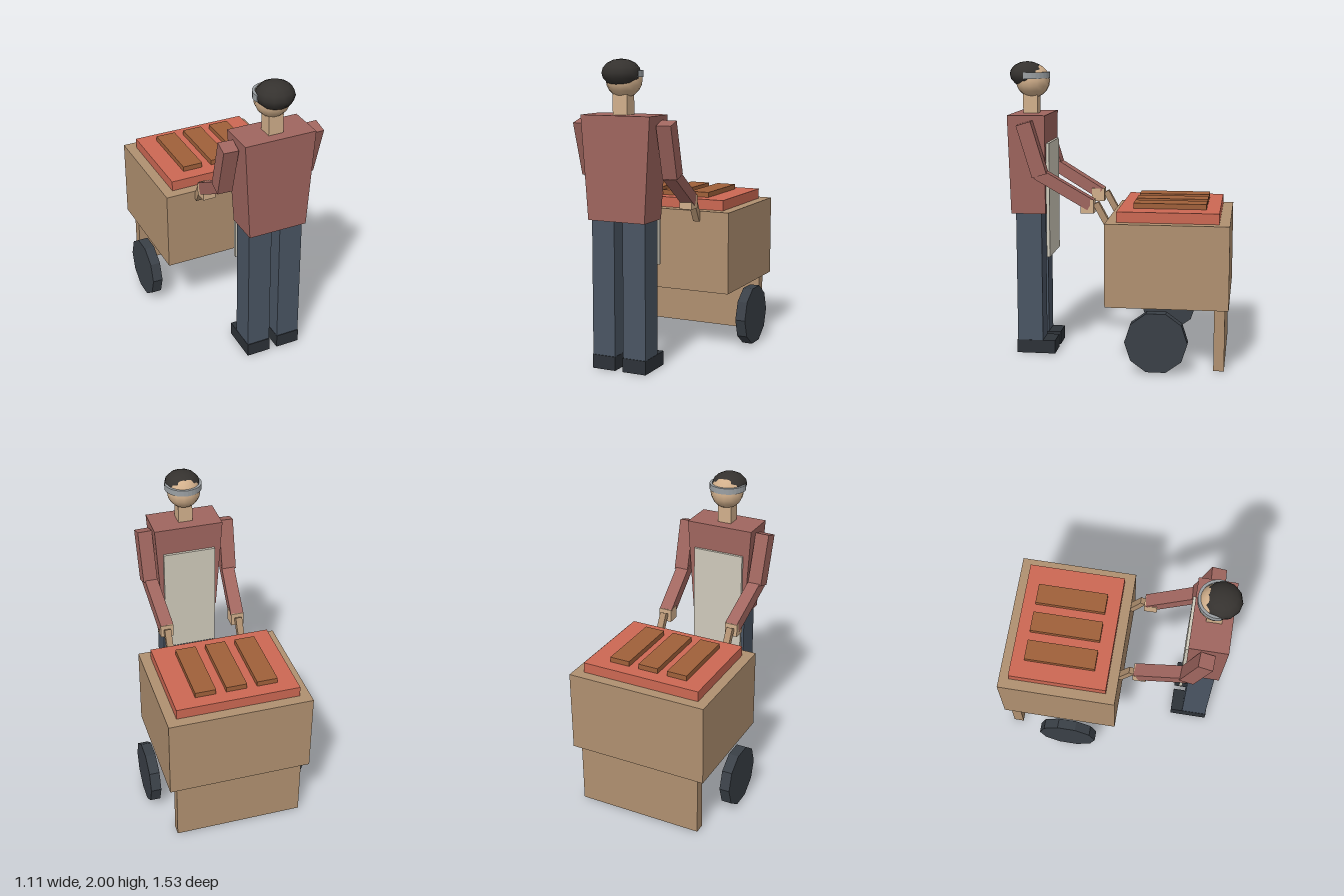
import * as THREE from 'three';

const COLORS = {
  wood: 0xb09070, tyre: 0x3a4047, tray: 0xcc6853, slab: 0xa0603a, shirt: 0xa0665f,
  trousers: 0x4a5563, shoe: 0x2d3238, apron: 0xcfcabb, skin: 0xd2b08c, hair: 0x35322f, band: 0x9ba0a3,
};
const materials = {};
function mat(key, flat = true) {
  const id = key + flat;
  materials[id] ??= new THREE.MeshStandardMaterial({ color: COLORS[key], flatShading: flat });
  return materials[id];
}

export function createModel() {
  const model = new THREE.Group();

  function add(parent, name, geometry, color, flat = true) {
    const mesh = new THREE.Mesh(geometry, mat(color, flat));
    mesh.name = name;
    parent.add(mesh);
    return mesh;
  }
  // Box given by its extents on each axis
  function box(parent, name, color, [x0, x1], [y0, y1], [z0, z1]) {
    const mesh = add(parent, name, new THREE.BoxGeometry(x1 - x0, y1 - y0, z1 - z0), color);
    mesh.position.set((x0 + x1) / 2, (y0 + y1) / 2, (z0 + z1) / 2);
    return mesh;
  }
  // Square bar whose length runs from one point to another
  function bar(parent, name, color, from, to, width, depth) {
    const a = new THREE.Vector3(...from), b = new THREE.Vector3(...to);
    const mesh = add(parent, name, new THREE.BoxGeometry(width, depth, a.distanceTo(b)), color);
    mesh.position.copy(a).lerp(b, 0.5);
    mesh.lookAt(b);
    return mesh;
  }

  // Cart: body, rear support, tray with slabs
  const cart = new THREE.Group();
  cart.name = 'cart';
  model.add(cart);
  box(cart, 'cartBody', 'wood', [-0.485, 0.485], [0.42, 0.975], [-0.765, 0.045]);
  box(cart, 'cartSupport', 'wood', [-0.435, 0.435], [0, 0.42], [-0.74, -0.67]);
  box(cart, 'tray', 'tray', [-0.415, 0.415], [0.975, 1.045], [-0.695, -0.025]);
  for (const x of [-0.22, -0.012, 0.196])
    box(cart, 'slab', 'slab', [x - 0.07, x + 0.07], [1.045, 1.08], [-0.605, -0.12]);

  // Wheels and push handles
  for (const s of [-1, 1]) {
    const wheel = add(cart, 'wheel', new THREE.CylinderGeometry(0.206, 0.206, 0.07, 10), 'tyre');
    wheel.rotation.z = Math.PI / 2;
    wheel.position.set(s * 0.52, 0.21, -0.3);
    bar(cart, 'handle', 'wood', [s * 0.256, 1.075, 0.13], [s * 0.256, 0.915, 0.042], 0.045, 0.042);
  }

  // Vendor: faces the cart
  const vendor = new THREE.Group();
  vendor.name = 'vendor';
  model.add(vendor);

  // Torso narrows towards the waist
  const torsoGeo = new THREE.BoxGeometry(0.486, 0.67, 0.255);
  const p = torsoGeo.attributes.position;
  for (let i = 0; i < p.count; i++)
    if (p.getY(i) < 0) { p.setX(i, p.getX(i) * 0.825); p.setZ(i, p.getZ(i) * 0.92); }
  torsoGeo.computeVertexNormals();
  add(vendor, 'torso', torsoGeo, 'shirt').position.set(0, 1.315, 0.603);
  box(vendor, 'apron', 'apron', [-0.185, 0.185], [0.68, 1.46], [0.46, 0.482]);

  // Limbs, mirrored
  for (const s of [-1, 1]) {
    const span = (a, b) => (s > 0 ? [a, b] : [-b, -a]);
    box(vendor, 'leg', 'trousers', span(0.03, 0.19), [0.09, 0.98], [0.515, 0.69]);
    box(vendor, 'shoe', 'shoe', span(0.028, 0.192), [0, 0.092], [0.43, 0.695]);
    bar(vendor, 'upperArm', 'shirt', [s * 0.295, 1.605, 0.603], [s * 0.29, 1.26, 0.5], 0.1, 0.1);
    bar(vendor, 'forearm', 'shirt', [s * 0.287, 1.275, 0.52], [s * 0.255, 1.066, 0.167], 0.09, 0.08);
    box(vendor, 'hand', 'skin', span(0.21, 0.3), [1.01, 1.1], [0.14, 0.23]);
  }

  // Head, hair and neck
  box(vendor, 'neck', 'skin', [-0.05, 0.05], [1.64, 1.78], [0.56, 0.66]);
  add(vendor, 'head', new THREE.SphereGeometry(0.116, 14, 10), 'skin', false).position.set(0, 1.87, 0.6);
  const hair = add(vendor, 'hair', new THREE.SphereGeometry(0.124, 12, 8), 'hair', false);
  hair.scale.y = 0.71;
  hair.position.set(0, 1.912, 0.637);

  // Headband: half ring around the forehead
  const arc = new THREE.Shape();
  const a0 = -0.25, a1 = Math.PI + 0.25;
  arc.absarc(0, 0, 0.128, a0, a1, false);
  arc.absarc(0, 0, 0.11, a1, a0, true);
  const bandGeo = new THREE.ExtrudeGeometry(arc, { depth: 0.042, bevelEnabled: false, curveSegments: 8 });
  const band = add(vendor, 'headband', bandGeo, 'band');
  band.rotation.x = -Math.PI / 2;
  band.position.set(0, 1.886, 0.611);

  return model;
}
